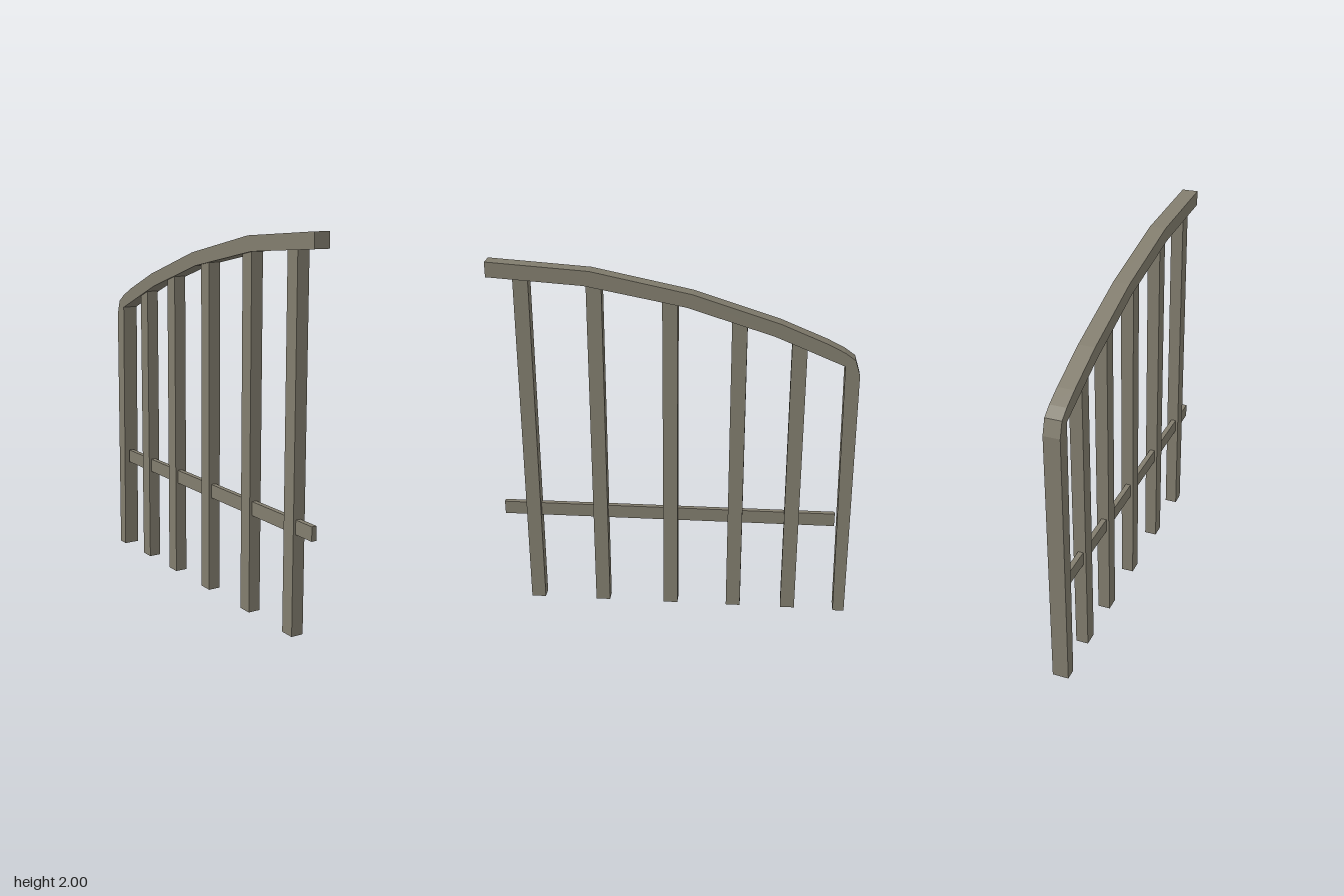
import * as THREE from 'three';

export function createModel() {
  const group = new THREE.Group();
  group.name = 'railing';
  const paint = new THREE.MeshStandardMaterial({ color: 0x827d6e });
  paint.name = 'greyBrown';

  const add = (name, geometry) => {
    const mesh = new THREE.Mesh(geometry, paint);
    mesh.name = name;
    group.add(mesh);
  };

  // Extrude a side outline of [z, y] points between two x positions
  const addProfile = (name, points, x0, x1) => {
    const shape = new THREE.Shape(points.map(([z, y]) => new THREE.Vector2(z, y)));
    const geometry = new THREE.ExtrudeGeometry(shape, { depth: x1 - x0, bevelEnabled: false });
    geometry.rotateY(-Math.PI / 2).translate(x1, 0, 0);
    add(name, geometry);
  };

  // Curved handrail running down into the end post
  const outer = [[0.975, 2], [0.437, 1.963], [-0.093, 1.854], [-0.542, 1.711], [-0.791, 1.608],
    [-0.881, 1.563], [-0.937, 1.523], [-0.963, 1.441], [-0.97, 0]];
  const inner = [[-0.907, 0], [-0.885, 1.489], [-0.606, 1.605], [-0.516, 1.642],
    [-0.061, 1.785], [0.468, 1.886], [0.975, 1.92]];
  addProfile('handrail', [...outer, ...inner], -0.044, 0.044);

  // Upright bars, cut to the slope of the handrail's underside
  const underside = inner.slice(1);
  const heightAt = (z) => {
    const i = underside.findIndex((p) => p[0] >= z);
    const [a, b] = [underside[i - 1], underside[i]];
    return a[1] + (b[1] - a[1]) * (z - a[0]) / (b[0] - a[0]);
  };
  [0.797, 0.418, 0.025, -0.335, -0.647].forEach((z, i) => {
    const [z0, z1] = [z - 0.04, z + 0.04];
    addProfile(`bar${i + 1}`, [[z0, 0], [z1, 0], [z1, heightAt(z1) + 0.005], [z0, heightAt(z0) + 0.005]], -0.034, 0.034);
  });

  // Thin horizontal rail passing through the bars
  const rail = new THREE.BoxGeometry(0.028, 0.075, 1.852);
  rail.translate(-0.006, 0.567, 0.04);
  add('lowerRail', rail);

  return group;
}
